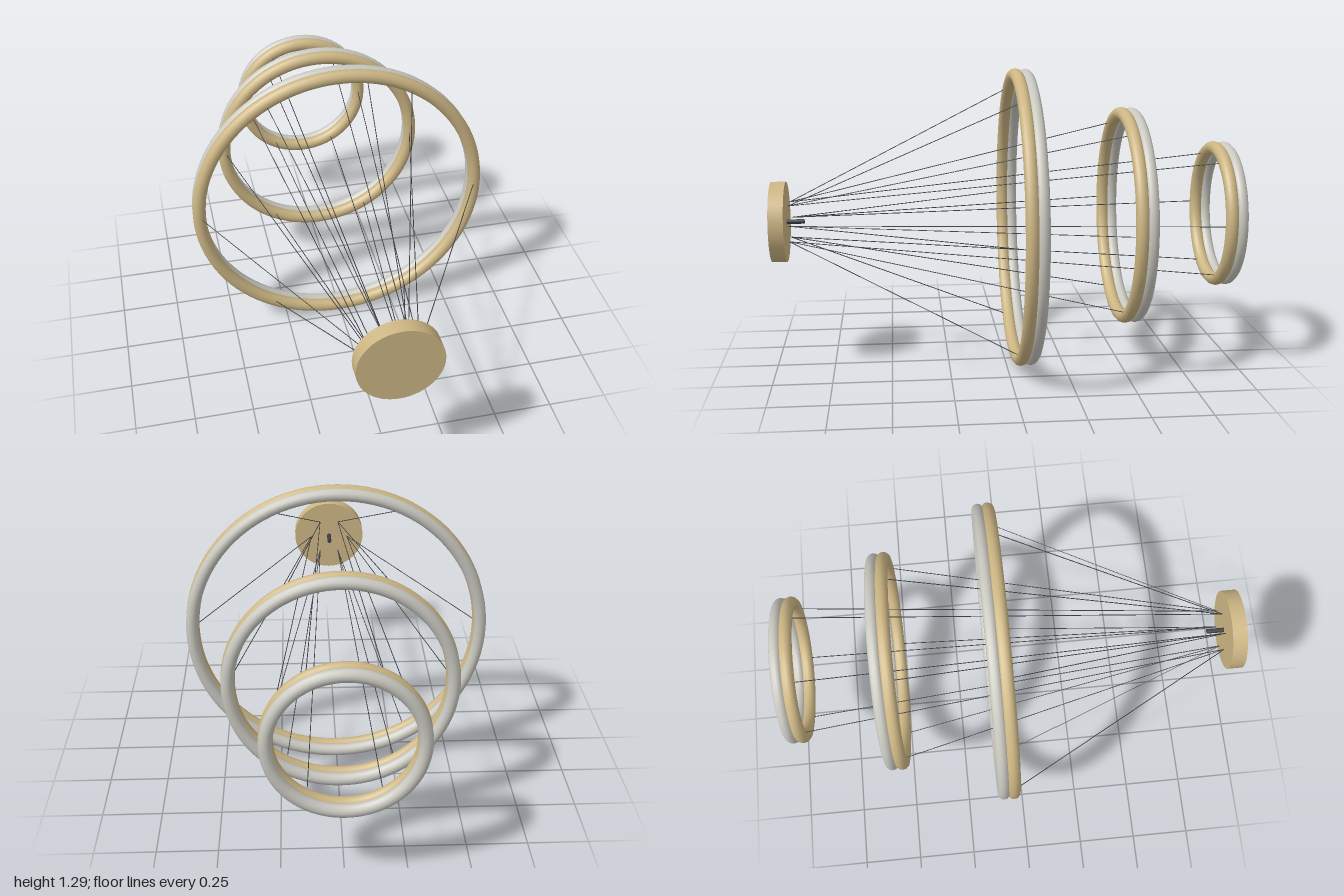
import * as THREE from 'three';

const CY = 0.647; // height of the common axis
const gold = new THREE.MeshStandardMaterial({ color: 0xcdb684 });
gold.name = 'brushed gold';
const diffuser = new THREE.MeshStandardMaterial({ color: 0xc9c8c0 });
diffuser.name = 'pale diffuser';
const dark = new THREE.MeshStandardMaterial({ color: 0x3c4046 });
dark.name = 'dark cable';

function add(parent, name, geometry, material) {
  const mesh = new THREE.Mesh(geometry, material);
  mesh.name = name;
  parent.add(mesh);
  return mesh;
}

// thin straight rod between two points
function rod(a, b, radius, sides) {
  const dir = b.clone().sub(a);
  const g = new THREE.CylinderGeometry(radius, radius, dir.length(), sides);
  g.applyQuaternion(new THREE.Quaternion().setFromUnitVectors(new THREE.Vector3(0, 1, 0), dir.normalize()));
  const m = a.clone().add(b).multiplyScalar(0.5);
  return g.translate(m.x, m.y, m.z);
}

const polar = (r, angle, z) => new THREE.Vector3(r * Math.cos(angle), r * Math.sin(angle), z);

export function createModel() {
  const model = new THREE.Group();
  model.name = 'ringChandelier';
  const body = new THREE.Group();
  body.name = 'fixture';
  body.position.y = CY;
  model.add(body);

  // mounting plate and its central stem
  const plate = new THREE.CylinderGeometry(0.172, 0.172, 0.063, 64).rotateX(Math.PI / 2);
  add(body, 'canopy', plate, gold).position.z = 0.9685;
  add(body, 'stem', rod(polar(0, 0, 0.938), polar(0, 0, 0.862), 0.01, 16), dark);

  // three rings: gold tube in front, pale tube behind, six cables each
  const rings = [
    { name: 'large', radius: 0.617, front: -0.021 },
    { name: 'middle', radius: 0.446, front: -0.487 },
    { name: 'small', radius: 0.291, front: -0.903 },
  ];
  for (const { name, radius, front } of rings) {
    const ring = new THREE.Group();
    ring.name = name + 'Ring';
    body.add(ring);
    add(ring, name + 'Frame', new THREE.TorusGeometry(radius, 0.028, 12, 96), gold).position.z = front - 0.028;
    add(ring, name + 'Light', new THREE.TorusGeometry(radius, 0.026, 12, 96), diffuser).position.z = front - 0.071;
    for (let i = 0; i < 6; i++) {
      const a = (i * Math.PI) / 3;
      add(ring, name + 'Cable', rod(polar(0.09, a, 0.925), polar(radius - 0.006, a, front - 0.01), 0.0018, 6), dark);
    }
  }
  return model;
}
